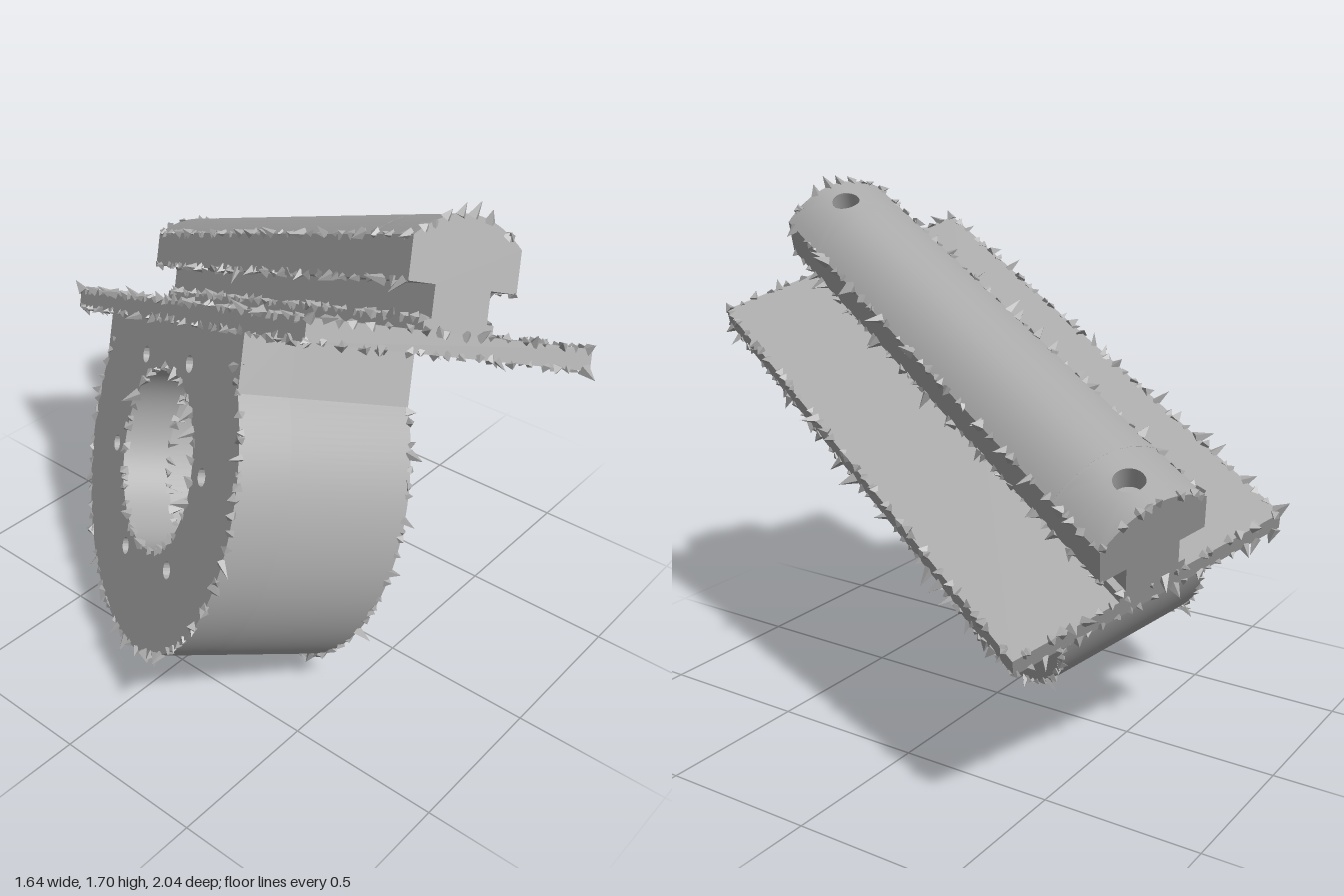
import * as THREE from 'three';
import { mergeGeometries, toCreasedNormals } from 'three/addons/utils/BufferGeometryUtils.js';

// Local frame: x across the plate, y out of the plate, z along the rail.
const LENGTH = 1.8, PLATE_W = 0.905, PLATE_TOP = 0.037, PLATE_BOTTOM = -0.025;
const HEAD = 0.172, HEAD_LOW = 0.16, SHOULDER = 0.28, CROWN = 0.075, END = 0.22;
const CUP_Y = -0.455, CUP_R = 0.6, CUP_IN = 0.44, CUP_BACK = -0.45, CUP_FRONT = 0.1, FLANGE = 0.16, BORE = 0.285;

const crown = (x) => SHOULDER + CROWN * (1 - (x / HEAD) ** 2);

function seeded(seed) {
  return () => {
    seed = (seed * 1664525 + 1013904223) % 4294967296;
    return seed / 4294967296;
  };
}

function extrude(shape, depth) {
  const g = new THREE.ExtrudeGeometry(shape, { depth, bevelEnabled: false, curveSegments: 64 });
  return toCreasedNormals(g, 0.3);
}

// Round housing outline with straight sides running up into the plate
function cupShape(holeRadius) {
  const side = 0.54, a = Math.acos(side / CUP_R);
  const s = new THREE.Shape();
  s.moveTo(-side, -CUP_Y);
  s.lineTo(-side, CUP_R * Math.sin(a));
  s.absarc(0, 0, CUP_R, Math.PI - a, 2 * Math.PI + a, false);
  s.lineTo(side, -CUP_Y);
  s.closePath();
  s.holes.push(new THREE.Path().absarc(0, 0, holeRadius, 0, Math.PI * 2, true));
  return s;
}

function crownShape() {
  const pts = [];
  for (let i = 0; i <= 24; i++) {
    const x = HEAD - (i / 24) * 2 * HEAD;
    pts.push(new THREE.Vector2(x, crown(x)));
  }
  return new THREE.Shape(pts);
}

// Curved top patch around a screw hole
function crownPatch(radius) {
  const pos = [], idx = [], rings = 8, seg = 48;
  for (let k = 0; k <= rings; k++) {
    for (let j = 0; j <= seg; j++) {
      const t = (j / seg) * Math.PI * 2, c = Math.cos(t), s = Math.sin(t);
      const m = Math.max(Math.abs(c), Math.abs(s)), f = k / rings;
      const x = THREE.MathUtils.lerp(radius * c, (HEAD * c) / m, f);
      const z = THREE.MathUtils.lerp(radius * s, (END / 2) * s / m, f);
      pos.push(x, crown(x), z);
      if (k < rings && j < seg) {
        const a = k * (seg + 1) + j, b = a + seg + 1;
        idx.push(a, a + 1, b, a + 1, b + 1, b);
      }
    }
  }
  const g = new THREE.BufferGeometry();
  g.setAttribute('position', new THREE.Float32BufferAttribute(pos, 3));
  g.setIndex(idx);
  g.computeVertexNormals();
  return g;
}

// Small ragged spikes scattered along the edges
function burrGeometry() {
  const rnd = seeded(7), parts = [], up = new THREE.Vector3(0, 1, 0);
  const scatter = (length, at, out) => {
    const n = Math.round(length / 0.045);
    for (let i = 0; i < n; i++) {
      const t = (i + rnd()) / n, h = 0.018 + 0.045 * rnd() ** 3;
      const dir = out(t).normalize();
      dir.add(new THREE.Vector3(rnd() - 0.5, rnd() - 0.5, rnd() - 0.5).multiplyScalar(1.3)).normalize();
      const g = new THREE.ConeGeometry(0.012 + 0.01 * rnd(), h, 4).toNonIndexed();
      g.computeVertexNormals();
      g.translate(0, h / 2 - 0.008, 0);
      g.applyQuaternion(new THREE.Quaternion().setFromUnitVectors(up, dir));
      const p = at(t);
      parts.push(g.translate(p.x, p.y, p.z));
    }
  };
  const V = (x, y, z) => new THREE.Vector3(x, y, z);
  for (const s of [-1, 1]) {
    // long plate edges, head edges and neck foot
    const lines = [[PLATE_W / 2, PLATE_TOP, 0.5], [PLATE_W / 2, PLATE_BOTTOM, -0.5], [HEAD, SHOULDER, 0.3], [HEAD, HEAD_LOW, -0.4], [0.11, 0.07, 0.6]];
    for (const [x, y, oy] of lines)
      scatter(LENGTH, (t) => V(s * x, y, (t - 0.5) * LENGTH), () => V(s, oy, 0));
    // plate and head end edges
    for (const [y, oy] of [[PLATE_TOP, 0.5], [PLATE_BOTTOM, -0.5]])
      scatter(PLATE_W, (t) => V((t - 0.5) * PLATE_W, y, s * LENGTH / 2), () => V(0, oy, s));
    scatter(HEAD * 2, (t) => V((t - 0.5) * HEAD * 2, crown((t - 0.5) * HEAD * 2), s * LENGTH / 2), () => V(0, 1, s));
  }
  // housing rims, left open where they meet the plate
  for (const [x, r, dx] of [[CUP_FRONT, CUP_R, 0.5], [CUP_FRONT, CUP_IN, 0.9], [CUP_BACK, CUP_R, -0.5], [CUP_BACK, BORE, -0.6], [CUP_BACK + FLANGE, BORE, 0.6]]) {
    const span = r === BORE ? 2 * Math.PI : Math.PI * 1.4;
    const ang = (t) => Math.PI * 0.8 + t * span;
    const radial = r < CUP_R ? -0.4 : 1;
    scatter(span * r, (t) => V(x, CUP_Y + r * Math.sin(ang(t)), r * Math.cos(ang(t))),
      (t) => V(dx, radial * Math.sin(ang(t)), radial * Math.cos(ang(t))));
  }
  return mergeGeometries(parts);
}

export function createModel() {
  const model = new THREE.Group();
  model.name = 'railMount';
  const grey = new THREE.MeshStandardMaterial({ color: 0xaaaaaa, side: THREE.DoubleSide });
  grey.name = 'grey';
  const body = new THREE.Group();
  body.name = 'tiltedBody';
  model.add(body);
  const add = (name, geometry, x = 0, y = 0, z = 0) => {
    const m = new THREE.Mesh(geometry, grey);
    m.name = name;
    m.position.set(x, y, z);
    body.add(m);
  };

  add('basePlate', new THREE.BoxGeometry(PLATE_W, PLATE_TOP - PLATE_BOTTOM, LENGTH), 0, (PLATE_TOP + PLATE_BOTTOM) / 2, 0);

  // Rail: stepped foot, narrow neck, wide head
  const half = [[0.11, 0.03], [0.11, 0.07], [0.088, 0.07], [0.088, HEAD_LOW], [HEAD, HEAD_LOW], [HEAD, SHOULDER]];
  const profile = [...half, ...half.map(([x, y]) => [-x, y]).reverse()].map(([x, y]) => new THREE.Vector2(x, y));
  add('rail', extrude(new THREE.Shape(profile), LENGTH), 0, 0, -LENGTH / 2);

  // Rounded top of the rail, with a screw hole near each end
  const mid = LENGTH - 2 * END;
  add('railCrown', extrude(crownShape(), mid), 0, 0, -mid / 2);
  for (const s of [-1, 1]) {
    const z = s * (LENGTH - END) / 2;
    add('railCrownEnd', crownPatch(0.045), 0, 0, z);
    add('railHole', new THREE.CylinderGeometry(0.045, 0.045, 0.07, 24, 1, true), 0, SHOULDER + 0.035, z);
    add('railEndFace', new THREE.ShapeGeometry(crownShape()), 0, 0, s * LENGTH / 2);
  }

  // Housing: open cup with a bored and drilled back flange
  const wall = extrude(cupShape(CUP_IN), CUP_FRONT - CUP_BACK - FLANGE).rotateY(Math.PI / 2);
  add('housingWall', wall, CUP_BACK + FLANGE, CUP_Y, 0);
  const flangeShape = cupShape(BORE);
  for (let i = 0; i < 6; i++) {
    const a = (i * Math.PI) / 3;
    flangeShape.holes.push(new THREE.Path().absarc(0.36 * Math.cos(a), 0.36 * Math.sin(a), 0.027, 0, Math.PI * 2, true));
  }
  add('housingFlange', extrude(flangeShape, FLANGE).rotateY(Math.PI / 2), CUP_BACK, CUP_Y, 0);

  add('edgeBurrs', burrGeometry());

  // Tilt the whole assembly
  const across = new THREE.Vector3(0.84, -0.298, 0.453).normalize();
  const along = new THREE.Vector3(-0.337, 0.376, 0.863);
  const normal = new THREE.Vector3().crossVectors(along, across).normalize();
  along.crossVectors(across, normal);
  body.quaternion.setFromRotationMatrix(new THREE.Matrix4().makeBasis(across, normal, along));
  body.position.set(0.1, 1.02, 0.005);
  return model;
}
